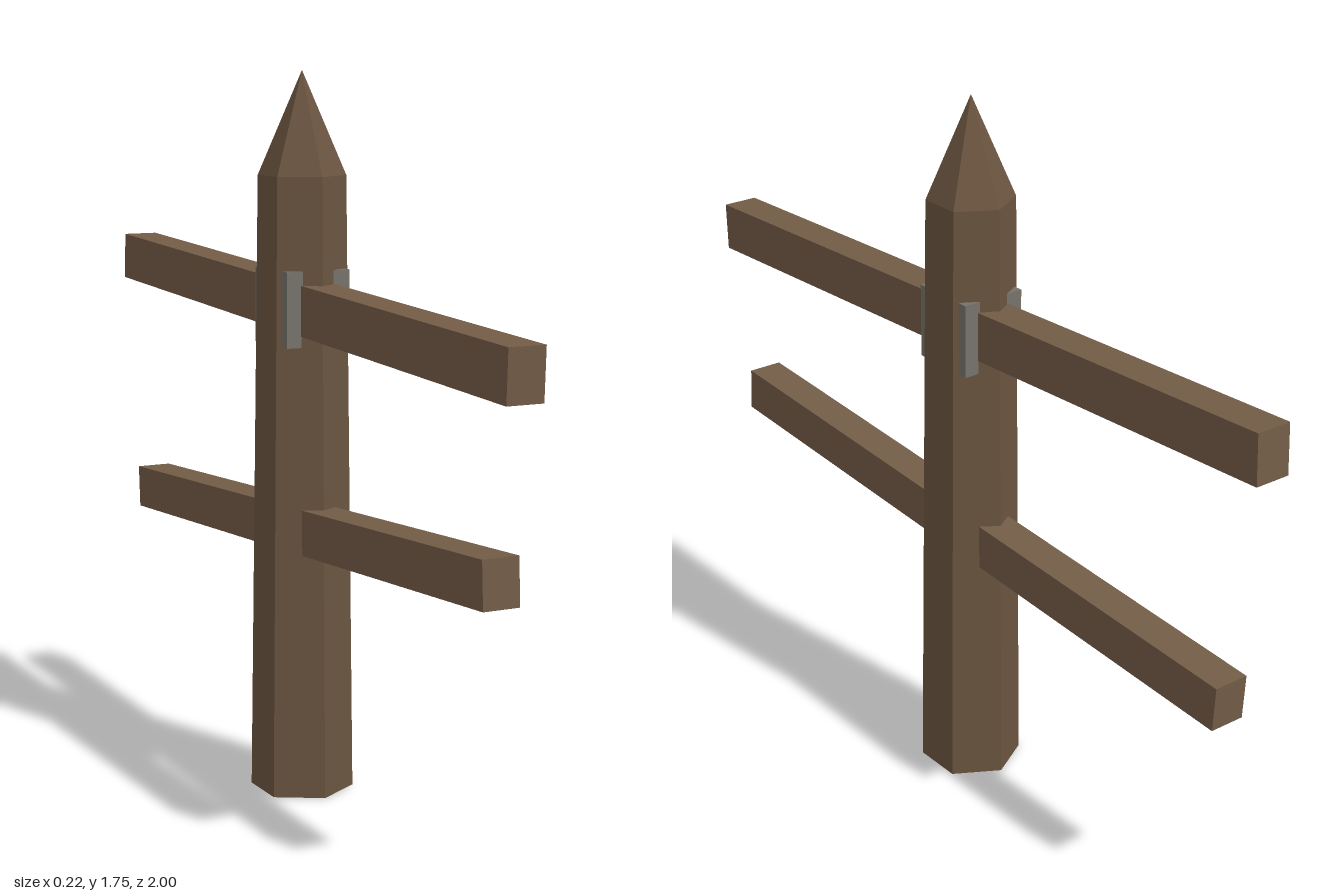
import * as THREE from 'three';

export function createModel() {
  const model = new THREE.Group();
  const wood = new THREE.MeshStandardMaterial({ color: 0x6b5540, flatShading: true });
  const railWood = new THREE.MeshStandardMaterial({ color: 0x735c47, flatShading: true });
  const metal = new THREE.MeshStandardMaterial({ color: 0x77736b, flatShading: true });

  const add = (name, geometry, material, y, tilt = 0) => {
    const mesh = new THREE.Mesh(geometry, material);
    mesh.name = name;
    mesh.position.y = y;
    mesh.rotation.x = tilt;
    model.add(mesh);
  };

  // Tapered hexagonal post with a sharpened tip
  add('post', new THREE.CylinderGeometry(0.105, 0.125, 1.5, 6), wood, 0.75);
  add('postTip', new THREE.ConeGeometry(0.105, 0.245, 6, 1, true), wood, 1.6225);

  // Rails running front to back, each slightly crooked
  add('upperRail', new THREE.BoxGeometry(0.09, 0.12, 1.996), railWood, 1.19, 0.04);
  add('lowerRail', new THREE.BoxGeometry(0.09, 0.11, 1.832), railWood, 0.65, -0.06);

  // Square binding whose corners break through the post faces
  add('binding', new THREE.BoxGeometry(0.165, 0.18, 0.17), metal, 1.19);

  return model;
}
